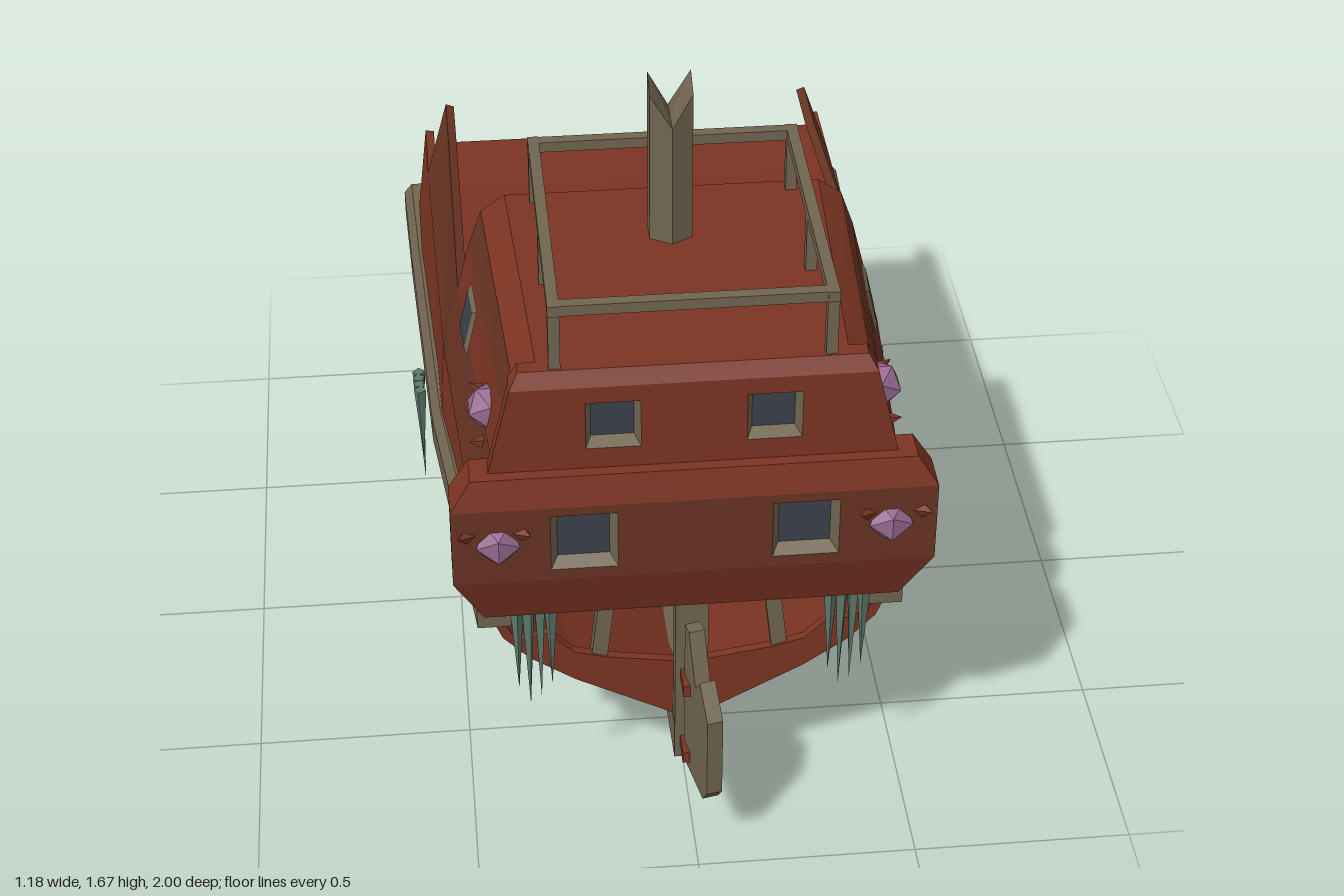
import * as THREE from 'three';

const mat = (name, color, side = THREE.FrontSide) => {
  const m = new THREE.MeshStandardMaterial({ color, side, flatShading: true });
  m.name = name;
  return m;
};

export function createModel() {
  const red = mat('red paint', 0x7c3423), brown = mat('faded paint', 0x683423);
  const wood = mat('weathered wood', 0x716550, THREE.DoubleSide);
  const glass = mat('dark glass', 0x3b424b), weed = mat('seaweed', 0x5d7a6b);
  const coral = mat('coral', 0x95698f);
  const root = new THREE.Group();

  const add = (name, geo, m, x = 0, y = 0, z = 0, parent = root) => {
    const mesh = new THREE.Mesh(geo, m);
    mesh.name = name;
    mesh.position.set(x, y, z);
    parent.add(mesh);
    return mesh;
  };
  const box = (name, m, w, h, d, x, y, z) => add(name, new THREE.BoxGeometry(w, h, d), m, x, y, z);

  // Closed solid through equal-length convex sections; winding is fixed by its volume
  function loft(secs) {
    const tris = [], n = secs[0].length, last = secs[secs.length - 1];
    for (let i = 0; i + 1 < secs.length; i++) for (let j = 0; j < n; j++) {
      const k = (j + 1) % n, a = secs[i][j], b = secs[i][k], c = secs[i + 1][k], d = secs[i + 1][j];
      tris.push([a, b, c], [a, c, d]);
    }
    for (let j = 1; j + 1 < n; j++) tris.push([secs[0][0], secs[0][j + 1], secs[0][j]], [last[0], last[j], last[j + 1]]);
    const V = p => new THREE.Vector3(...p), o = V(secs[0][0]);
    const vol = tris.reduce((s, t) => {
      const [a, b, c] = t.map(p => V(p).sub(o));
      return s + a.dot(b.cross(c));
    }, 0);
    if (vol < 0) tris.forEach(t => t.reverse());
    const g = new THREE.BufferGeometry();
    g.setAttribute('position', new THREE.Float32BufferAttribute(tris.flat(2), 3));
    g.computeVertexNormals();
    return g;
  }
  const quad = (y, xb, zb, xf, zf) => [[-xb, y, zb], [xb, y, zb], [xf, y, zf], [-xf, y, zf]];

  // Hull half-sections [x, y] from keel to bulwark, at three stations
  const stations = [
    [0.78, [[0.02, 0.26], [0.26, 0.39], [0.36, 0.46], [0.42, 0.525], [0.45, 0.6], [0.475, 0.84], [0.43, 1.03]]],
    [0.12, [[0.02, 0.12], [0.32, 0.25], [0.45, 0.37], [0.51, 0.49], [0.53, 0.61], [0.515, 0.87], [0.475, 1.03]]],
    [-0.68, [[0.02, 0.07], [0.37, 0.195], [0.485, 0.32], [0.54, 0.45], [0.56, 0.56], [0.525, 0.81], [0.47, 0.955]]],
  ];
  const hullAt = (k, z) => {
    const i = z > 0.12 ? 0 : 1, [z0, p] = stations[i], [z1, q] = stations[i + 1];
    const t = Math.min(1, (z0 - z) / (z0 - z1));
    return [0, 1].map(c => p[k][c] + (q[k][c] - p[k][c]) * t);
  };
  // Plank k between two hull lines, with separate end positions for its lower and upper edge
  function strake(k, s, start, endLow, endHigh, m) {
    const mids = stations.map(st => st[0]).filter(z => z < start && z > Math.max(endLow, endHigh));
    const secs = [[start, start], ...mids.map(z => [z, z]), [endLow, endHigh]].map(([za, zb]) => {
      const [ax, ay] = hullAt(k, za), [bx, by] = hullAt(k + 1, zb);
      const l = Math.hypot(bx - ax, by - ay), nx = -(by - ay) / l * 0.022, ny = (bx - ax) / l * 0.022;
      return [[s * ax, ay, za], [s * bx, by, zb], [s * (bx + nx), by + ny, zb], [s * (ax + nx), ay + ny, za]];
    });
    add('hullPlank', loft(secs), m);
  }

  // Window: sloped wooden surround and a pane; a negative depth stands proud
  function windowUnit(w, depth, x, y, z) {
    const g = new THREE.Group();
    g.name = 'window';
    g.position.set(x, y, z);
    root.add(g);
    const r = w / Math.SQRT2;
    const surround = new THREE.CylinderGeometry(r, r * 0.78, Math.abs(depth), 4, 1, true);
    surround.rotateY(Math.PI / 4).rotateX(Math.PI / 2);
    if (depth < 0) surround.rotateY(Math.PI);
    add('windowFrame', surround, wood, 0, 0, -depth / 2, g);
    add('windowPane', new THREE.PlaneGeometry(w * 0.78, w * 0.78), glass, 0, 0, -depth, g);
    return g;
  }
  // Flat panel with square openings [x, y, width]
  function panel(name, pts, holes, depth, m, z) {
    const shape = new THREE.Shape(pts.map(p => new THREE.Vector2(...p)));
    for (const [x, y, w] of holes) {
      const h = w / 2;
      shape.holes.push(new THREE.Path([[x - h, y - h], [x - h, y + h], [x + h, y + h], [x + h, y - h]].map(p => new THREE.Vector2(...p))));
    }
    add(name, new THREE.ExtrudeGeometry(shape, { depth, bevelEnabled: false }), m, 0, 0, z);
    for (const [x, y, w] of holes) windowUnit(w, 0.03, x, y, z + depth);
  }
  function tuft(x, y, z, alongX, lengths) {
    lengths.forEach((len, i) => {
      const o = (i - (lengths.length - 1) / 2) * 0.025;
      const g = new THREE.ConeGeometry(0.016, len, 4).rotateX(Math.PI);
      add('seaweedBlade', g, weed, x + (alongX ? o : 0), y - len / 2, z + (alongX ? 0 : o)).rotation.set(0, 0.4 * i, alongX ? 0 : 0.02);
    });
  }

  // Keel, deck and cabin
  add('keel', loft([[0.82, 0.17, 0.27], [0.48, 0.14, 0.22], [0.12, 0.05, 0.14], [-0.68, 0, 0.08], [-1, 0, 0.08]]
    .map(([z, a, b]) => [[-0.038, a, z], [0.038, a, z], [0.038, b, z], [-0.038, b, z]])), wood);
  add('deck', loft([0.77, 0.12, -0.68, -0.91].map(z => {
    const [x, y] = hullAt(5, z), w = x - 0.025;
    return [[-w, y - 0.04, z], [w, y - 0.04, z], [w, y - 0.01, z], [-w, y - 0.01, z]];
  })), red);
  const levels = [[0.83, 0.475, 0.42], [1.03, 0.475, 0.43], [1.15, 0.445, 0.405], [1.235, 0.415, 0.38], [1.275, 0.36, 0.33]];
  for (let i = 0; i < 4; i++) {
    const [a, b] = [levels[i], levels[i + 1]].map(([y, xb, xf]) => quad(y, xb, 0.12, xf, 0.795));
    add('cabinBand', loft([a, b]), i === 2 ? brown : red);
  }

  // Stern panels
  add('sternLowerBevel', loft([quad(0.63, 0.46, 0.78, 0.46, 0.83), quad(0.765, 0.525, 0.78, 0.525, 0.877)]), red);
  panel('sternPanel', [[-0.525, 0.765], [0.525, 0.765], [0.525, 0.96], [-0.525, 0.96]],
    [[-0.24, 0.865, 0.145], [0.24, 0.865, 0.145]], 0.097, brown, 0.78);
  add('sternUpperBevel', loft([quad(0.96, 0.525, 0.78, 0.525, 0.877), quad(1.03, 0.48, 0.78, 0.48, 0.86)]), red);
  panel('cabinSternPanel', [[-0.44, 1.03], [0.44, 1.03], [0.39, 1.24], [-0.39, 1.24]],
    [[-0.172, 1.14, 0.118], [0.172, 1.14, 0.118]], 0.037, red, 0.797);
  add('cabinSternBevel', loft([quad(1.24, 0.39, 0.78, 0.39, 0.834), quad(1.275, 0.37, 0.78, 0.37, 0.815)]), red);
  const half = [[0, 0.27], [0.26, 0.39], [0.36, 0.46], [0.4, 0.51], [0.32, 0.53], [0.26, 0.47], [0.19, 0.45]];
  panel('brokenSternBoard', [...half, [0, 0.42], ...half.slice(1).reverse().map(([x, y]) => [-x, y])], [], 0.02, red, 0.76);

  for (const s of [1, -1]) {
    // Broken hull planking, with a gap amidships
    strake(0, s, 0.78, -0.86, -0.93, red);
    strake(1, s, 0.78, 0.03, 0.03, red);
    strake(1, s, -0.24, -0.84, -0.92, red);
    strake(2, s, 0.78, -0.05, -0.05, red);
    strake(2, s, -0.2, -0.94, -0.98, red);
    strake(3, s, 0.78, -0.84, -0.75, red);
    strake(4, s, 0.78, -0.88, -0.96, red);
    strake(5, s, 0.78, -0.75, -0.845, brown);

    // Rubbing rail
    add('rubRail', loft([[0.8, 0.4, 0.475, 0.575], [0.12, 0.49, 0.55, 0.59], [-0.68, 0.525, 0.58, 0.53], [-1, 0.525, 0.59, 0.53]]
      .map(([z, a, b, y]) => [[s * a, y, z], [s * b, y, z], [s * b, y + 0.065, z], [s * (b - 0.02), y + 0.09, z], [s * a, y + 0.09, z]])), wood);

    // Rib behind the gap
    add('rib', loft([1, 2, 3, 4].map(k => {
      const [x, y] = hullAt(k, -0.11), a = s * (x - 0.025), b = s * (x - 0.065);
      return [[a, y, -0.09], [b, y + 0.02, -0.09], [b, y + 0.02, -0.135], [a, y, -0.135]];
    })), wood);
    add('sternBrace', loft([[0.205, 0.44], [0.18, 0.66]].map(([x, y]) =>
      [[s * x - 0.018, y, 0.74], [s * x + 0.018, y, 0.74], [s * x + 0.018, y, 0.775], [s * x - 0.018, y, 0.775]])), wood);

    // Side window
    const side = windowUnit(0.12, -0.008, s * 0.455, 1.067, 0.307);
    side.rotation.set(0, s * (Math.PI / 2 - 0.06), 0);
    side.rotateX(-0.23);

    // Coral, thorns and seaweed
    add('coral', new THREE.IcosahedronGeometry(0.055, 0), coral, s * 0.425, 0.865, 0.855);
    add('coral', new THREE.IcosahedronGeometry(0.055, 0), coral, s * 0.425, 1.065, 0.64);
    const thorn = (x, y, z, rx, rz) =>
      add('thorn', new THREE.ConeGeometry(0.02, 0.04, 4), red, s * x, y, z).rotation.set(rx, 0, s * rz);
    thorn(0.5, 0.9, 0.885, 1.2, -0.5);
    thorn(0.365, 0.9, 0.885, 1.2, 0.5);
    thorn(0.45, 1.06, 0.56, -0.8, -1);
    thorn(0.455, 1.0, 0.68, 0.8, -1.2);
    tuft(s * 0.35, 0.64, 0.8, true, [0.25, 0.3, 0.28, 0.24]);
    tuft(s * 0.575, 0.58, -0.145, false, [0.18, 0.24, 0.3, 0.22]);

    // Roof railing sides
    box('roofRail', wood, 0.025, 0.025, 0.68, s * 0.292, 1.42, 0.472);
    for (const z of [0.147, 0.48, 0.797]) box('railPost', wood, 0.025, 0.15, 0.025, s * 0.292, 1.34, z);
  }
  for (const z of [0.147, 0.797]) box('roofRail', wood, 0.61, 0.025, 0.026, 0, 1.42, z);

  // Snapped mast
  const mast = new THREE.CylinderGeometry(0.055, 0.055, 0.4, 6).translate(0, 1.47, 0.305);
  const p = mast.attributes.position;
  for (let i = 0; i < p.count; i++) if (p.getY(i) > 1.5) {
    const out = Math.abs(p.getX(i)) > 0.02;
    p.setY(i, out ? (p.getZ(i) > 0.305 ? 1.64 : 1.67) : 1.57);
  }
  mast.computeVertexNormals();
  add('mast', mast, wood);

  // Sternpost, rudder and hinges
  box('sternPost', wood, 0.074, 0.46, 0.04, 0, 0.4, 0.8);
  const rudderShape = new THREE.Shape([[0, 0.18], [0.14, 0.18], [0.17, 0.22], [0.17, 0.43], [0.11, 0.5], [0.08, 0.46], [0.03, 0.58], [0, 0.58]]
    .map(q => new THREE.Vector2(...q)));
  const rudderGeo = new THREE.ExtrudeGeometry(rudderShape, { depth: 0.036, bevelEnabled: false }).translate(0, 0, -0.018);
  add('rudder', rudderGeo, wood, 0, 0, 0.833).rotation.y = -Math.PI / 2 + 0.2;
  for (const y of [0.22, 0.42]) box('rudderHinge', red, 0.05, 0.03, 0.06, 0, y, 0.85);

  return root;
}
